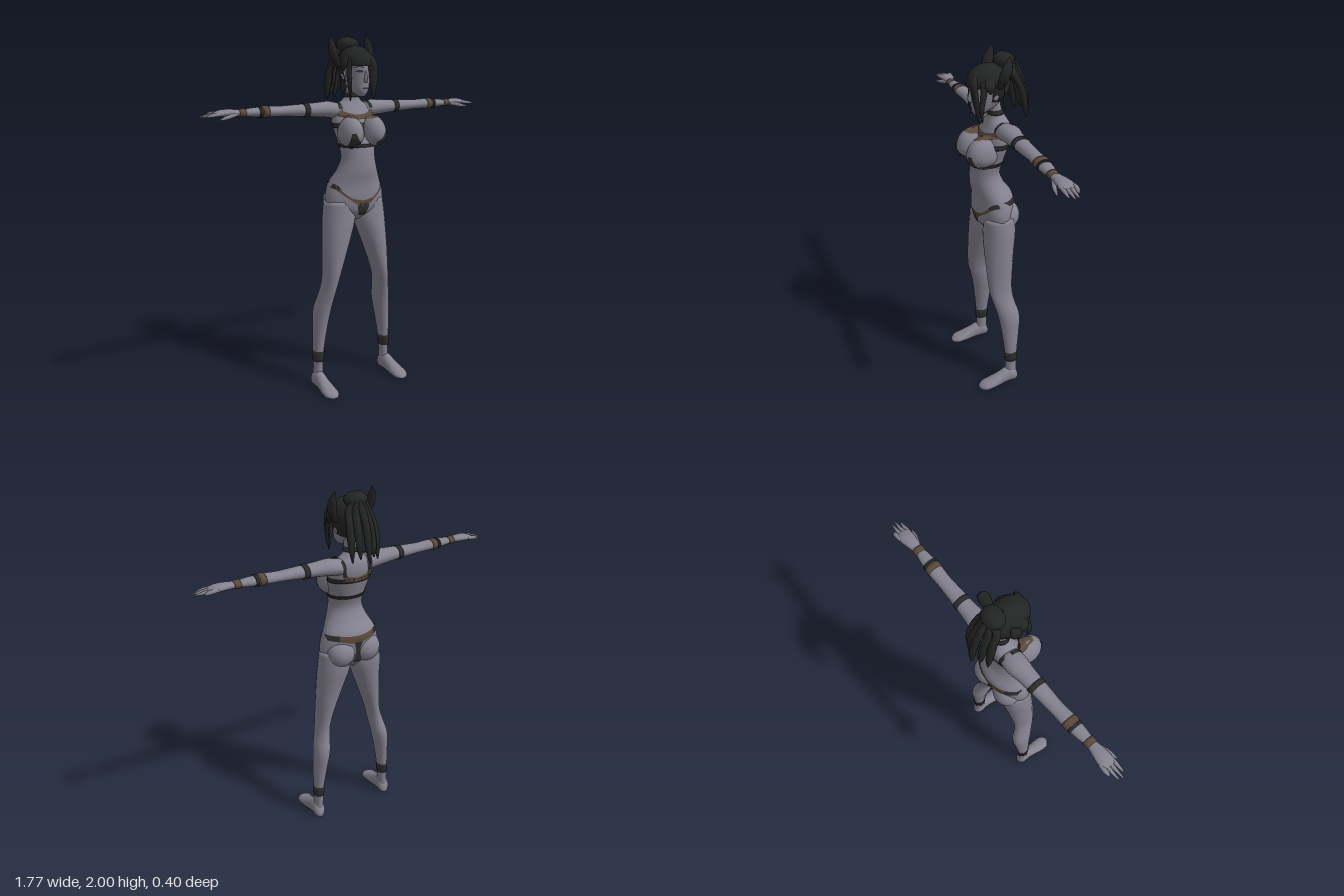
import * as THREE from 'three';

const mat = (name, color, side = THREE.FrontSide) => {
  const m = new THREE.MeshStandardMaterial({ color, side });
  m.name = name;
  return m;
};

// Section of a ring list at t; a ring is [t, c1, c2, radius1, radius2]
function sampler(rings) {
  const f = new THREE.CubicInterpolant(rings.map(r => r[0]), rings.flatMap(r => r.slice(1)), 4, new Float32Array(4));
  return t => [...f.evaluate(t)];
}

// Smooth closed loft of elliptical sections along one axis
function loft(axis, rings, { from = rings[0][0], to = rings.at(-1)[0], grow = 0, n = 18, steps = 28 } = {}) {
  const at = sampler(rings), pos = [], idx = [];
  const put = (t, u, v) => pos.push(...(axis === 'x' ? [t, u, v] : axis === 'y' ? [u, t, v] : [u, v, t]));
  const dir = axis === 'y' ? -1 : 1;
  for (let i = 0; i <= steps; i++) {
    const t = from + (to - from) * i / steps, [c, d, a, b] = at(t);
    for (let j = 0; j < n; j++) {
      const q = j / n * Math.PI * 2;
      put(t, c + (Math.max(a, 0.001) + grow) * Math.cos(q), d + dir * (Math.max(b, 0.001) + grow) * Math.sin(q));
    }
  }
  for (let i = 0; i < steps; i++) for (let j = 0; j < n; j++) {
    const a = i * n + j, b = i * n + (j + 1) % n;
    idx.push(a, b, a + n, b, b + n, a + n);
  }
  const s = at(from), e = at(to), k = pos.length / 3;
  put(from, s[0], s[1]);
  put(to, e[0], e[1]);
  for (let j = 0; j < n; j++) {
    const o = steps * n, j2 = (j + 1) % n;
    idx.push(k, j2, j, k + 1, o + j, o + j2);
  }
  return finish(pos, idx);
}

function finish(pos, idx) {
  const g = new THREE.BufferGeometry();
  g.setAttribute('position', new THREE.Float32BufferAttribute(pos, 3));
  g.setIndex(idx);
  g.computeVertexNormals();
  return g;
}

function mirror(geo) {
  const g = geo.clone(), p = g.attributes.position, ix = g.index;
  for (let i = 0; i < p.count; i++) p.setX(i, -p.getX(i));
  for (let i = 0; i < ix.count; i += 3) {
    const a = ix.getX(i);
    ix.setX(i, ix.getX(i + 1));
    ix.setX(i + 1, a);
  }
  g.computeVertexNormals();
  return g;
}

const ball = (x, y, z, rx, ry, rz) => new THREE.SphereGeometry(1, 22, 16).scale(rx, ry, rz).translate(x, y, z);

export function createModel() {
  const root = new THREE.Group();
  root.name = 'figure';
  const skin = mat('skin', 0x84828f), hair = mat('hair', 0x232524, THREE.DoubleSide);
  const black = mat('black leather', 0x2b2d2c, THREE.DoubleSide), brown = mat('brown leather', 0x5c4a3b, THREE.DoubleSide);
  const dark = mat('face detail', 0x3a363c, THREE.DoubleSide);
  const add = (name, geo, m) => {
    const mesh = new THREE.Mesh(geo, m);
    mesh.name = name;
    root.add(mesh);
    return mesh;
  };
  const pair = (name, geo, m) => [add(name + 'Left', geo, m), add(name + 'Right', mirror(geo), m)];

  // Torso and neck
  const torso = [[0.985, 0, 0.012, 0.03, 0.04], [1.03, 0, 0.018, 0.12, 0.085], [1.07, 0, 0.02, 0.172, 0.096],
    [1.12, 0, 0.02, 0.181, 0.102], [1.2, 0, 0.018, 0.158, 0.108], [1.27, 0, 0.047, 0.122, 0.092],
    [1.34, 0, 0.06, 0.1, 0.081], [1.42, 0, 0.045, 0.108, 0.088], [1.5, 0, 0.018, 0.124, 0.084],
    [1.57, 0, -0.003, 0.125, 0.078], [1.62, 0, -0.012, 0.098, 0.062], [1.65, 0, -0.01, 0.055, 0.047],
    [1.68, 0, -0.003, 0.037, 0.038], [1.75, 0, 0.015, 0.037, 0.04]];
  const body = [add('torso', loft('y', torso, { n: 32, steps: 60 }), skin)];
  const bust = ball(0, 0, 0, 0.066, 0.068, 0.09), bp = bust.attributes.position;
  for (let i = 0; i < bp.count; i++) if (bp.getY(i) > 0) bp.setY(i, bp.getY(i) * 1.45);
  bust.translate(0.073, 1.472, 0.1).computeVertexNormals();
  body.push(...pair('bust', bust, skin), ...pair('seat', ball(0.082, 1.09, -0.03, 0.084, 0.085, 0.078), skin));

  // Legs and feet
  const leg = [[0.04, 0.236, -0.005, 0.03, 0.036], [0.1, 0.232, -0.007, 0.026, 0.034], [0.2, 0.23, -0.007, 0.03, 0.037],
    [0.35, 0.217, -0.008, 0.039, 0.052], [0.47, 0.2025, -0.004, 0.047, 0.065], [0.55, 0.187, 0.017, 0.042, 0.064],
    [0.62, 0.174, 0.032, 0.039, 0.067], [0.81, 0.137, 0.03, 0.068, 0.08], [0.9, 0.118, 0.024, 0.083, 0.087],
    [1.0, 0.1, 0.015, 0.096, 0.092], [1.1, 0.1, 0.012, 0.081, 0.088]];
  body.push(...pair('leg', loft('y', leg, { n: 22, steps: 44 }), skin));
  pair('ankleCuff', loft('y', leg, { from: 0.157, to: 0.215, grow: 0.004, steps: 4 }), black);
  const foot = loft('z', [[-0.05, 0.236, 0.02, 0.012, 0.016], [-0.035, 0.236, 0.035, 0.03, 0.04], [0.02, 0.237, 0.045, 0.034, 0.052],
    [0.07, 0.239, 0.032, 0.037, 0.044], [0.13, 0.241, 0.018, 0.044, 0.032], [0.18, 0.241, 0.01, 0.038, 0.022], [0.202, 0.239, 0.006, 0.016, 0.01]]);
  const fp = foot.attributes.position;
  for (let i = 0; i < fp.count; i++) fp.setY(i, Math.max(0, fp.getY(i)));
  foot.computeVertexNormals();
  pair('foot', foot, skin);

  // Arms, bands and hands
  const arm = [[0.07, 1.59, -0.018, 0.045, 0.055], [0.14, 1.603, -0.022, 0.045, 0.06], [0.22, 1.605, -0.02, 0.039, 0.05],
    [0.35, 1.607, -0.018, 0.031, 0.042], [0.44, 1.608, -0.017, 0.027, 0.038], [0.52, 1.61, -0.014, 0.028, 0.04],
    [0.6, 1.61, -0.011, 0.023, 0.034], [0.67, 1.61, -0.008, 0.017, 0.026], [0.72, 1.613, -0.01, 0.019, 0.034],
    [0.77, 1.613, -0.012, 0.018, 0.041], [0.81, 1.609, -0.012, 0.01, 0.036]];
  body.push(...pair('arm', loft('x', arm, { steps: 44 }), skin));
  for (const [name, from, to, m] of [['upperArmBand', 0.277, 0.305, black], ['forearmBand', 0.515, 0.55, brown],
    ['forearmStrap', 0.555, 0.57, black], ['wristBand', 0.645, 0.68, brown]])
    pair(name, loft('x', arm, { from, to, grow: 0.004, steps: 3 }), m);
  [0.84, 0.88, 0.885, 0.865].forEach((tip, i) => {
    const z = -0.044 + i * 0.021;
    pair('finger' + (i + 1), loft('x', [[0.77, 1.612, z, 0.01, 0.011], [0.83, 1.606, z, 0.009, 0.01],
      [tip, 1.6, z + 0.002, 0.003, 0.004]], { n: 8, steps: 8 }), skin);
  });
  pair('thumb', loft('x', [[0.69, 1.607, 0.008, 0.011, 0.012], [0.75, 1.595, 0.032, 0.011, 0.012],
    [0.8, 1.585, 0.045, 0.004, 0.004]], { n: 8, steps: 10 }), skin);

  // Head, nose and ears
  const head = add('head', loft('y', [[1.675, 0, 0.095, 0.012, 0.02], [1.7, 0, 0.075, 0.04, 0.053], [1.74, 0, 0.052, 0.058, 0.08],
    [1.79, 0, 0.042, 0.067, 0.094], [1.84, 0, 0.036, 0.072, 0.1], [1.9, 0, 0.03, 0.062, 0.085], [1.93, 0, 0.028, 0.03, 0.04]],
  { n: 26 }), skin);
  add('nose', loft('y', [[1.75, 0, 0.134, 0.009, 0.01], [1.76, 0, 0.136, 0.01, 0.014], [1.81, 0, 0.132, 0.005, 0.008]], { n: 8, steps: 6 }), skin);
  pair('ear', ball(0.072, 1.79, 0.025, 0.01, 0.028, 0.016), skin);

  // Thin strip laid on a surface; points are [x, y, width], side 1 is front and -1 back
  root.updateMatrixWorld(true);
  const ray = new THREE.Raycaster();
  function strip(name, pts, side, m, targets = body) {
    const curve = new THREE.CatmullRomCurve3(pts.map(p => new THREE.Vector3(...p)));
    const pos = [], idx = [], L = 16, W = 6;
    let z = 0;
    for (let i = 0; i <= L; i++) {
      const p = curve.getPoint(i / L), t = curve.getTangent(i / L).setZ(0).normalize();
      for (let j = 0; j <= W; j++) {
        const o = p.z * (j / W - 0.5), q = new THREE.Vector3(p.x - t.y * o, p.y + t.x * o, side);
        ray.set(q, new THREE.Vector3(0, 0, -side));
        const hit = ray.intersectObjects(targets, false)[0];
        if (hit) {
          z = hit.point.z;
          q.copy(hit.point).addScaledVector(hit.face.normal, 0.004);
        } else q.z = z;
        pos.push(q.x, q.y, q.z);
        if (i < L && j < W) {
          const a = i * (W + 1) + j, b = a + W + 1;
          if (side > 0) idx.push(a, b, a + 1, b, b + 1, a + 1);
          else idx.push(a, a + 1, b, b, a + 1, b + 1);
        }
      }
    }
    return add(name, finish(pos, idx), m);
  }
  const strips = (name, pts, side, m, targets) => [1, -1].forEach(s =>
    strip(name + (s > 0 ? 'Left' : 'Right'), pts.map(([x, y, w]) => [s * x, y, w]), side, m, targets));

  // Face details
  strips('eye', [[0.014, 1.806, 0.006], [0.03, 1.811, 0.014], [0.047, 1.809, 0.005]], 1, dark, [head]);
  strips('brow', [[0.012, 1.828, 0.006], [0.032, 1.836, 0.007], [0.052, 1.828, 0.004]], 1, dark, [head]);
  strip('mouth', [[-0.017, 1.721, 0.004], [0, 1.72, 0.01], [0.017, 1.721, 0.004]], 1, dark, [head]);

  // Upper harness
  strip('chestStrap', [[-0.11, 1.585, 0.038], [-0.05, 1.568, 0.026], [0, 1.562, 0.026], [0.05, 1.568, 0.026], [0.11, 1.585, 0.038]], 1, brown);
  strip('centreStrap', [[0, 1.535, 0.016], [0, 1.5, 0.016], [0, 1.455, 0.012]], 1, brown);
  strips('cup', [[0.1, 1.487, 0.018], [0.095, 1.45, 0.04], [0.078, 1.416, 0.062]], 1, black);
  strips('shoulderStrap', [[0.1, 1.605, 0.022], [0.097, 1.63, 0.022], [0.088, 1.645, 0.02]], 1, black);
  strips('backShoulderStrap', [[0.085, 1.63, 0.02], [0.08, 1.59, 0.02], [0.07, 1.545, 0.02]], -1, black);
  strip('backStrap', [[-0.075, 1.535, 0.03], [0, 1.525, 0.026], [0.075, 1.535, 0.03]], -1, brown);
  const belt = (name, from, to, m) => add(name, loft('y', torso, { from, to, grow: 0.004, n: 32, steps: 4 }), m);
  belt('ribStrap', 1.505, 1.53, black);
  belt('underbustStrap', 1.403, 1.42, black);
  belt('collar', 1.668, 1.69, black);

  // Lower garment
  strips('hipStrap', [[0.152, 1.19, 0.024], [0.11, 1.142, 0.012], [0.055, 1.105, 0.014]], 1, brown);
  strips('hipSide', [[0.158, 1.19, 0.026], [0.148, 1.185, 0.026], [0.13, 1.168, 0.016]], 1, black);
  strip('frontTrim', [[-0.065, 1.11, 0.016], [0, 1.088, 0.036], [0.065, 1.11, 0.016]], 1, brown);
  strip('frontPanel', [[0, 1.092, 0.075], [0, 1.06, 0.07], [0, 1.02, 0.035]], 1, black);
  strip('backBelt', [[-0.105, 1.19, 0.03], [0, 1.178, 0.042], [0.105, 1.19, 0.03]], -1, brown);
  strips('backHip', [[0.104, 1.19, 0.03], [0.135, 1.192, 0.028], [0.157, 1.192, 0.026]], -1, black);
  strip('backPanel', [[0, 1.16, 0.05], [0, 1.1, 0.026], [0, 1.03, 0.05]], -1, black);

  // Hair cap: dome over the brow and a shell behind
  const dome = new THREE.SphereGeometry(1, 28, 10, 0, Math.PI * 2, 0, Math.PI * 0.52).scale(0.09, 0.098, 0.12).translate(0, 1.845, 0.035);
  add('hairCap', dome, hair);
  const shell = new THREE.SphereGeometry(1, 20, 10, Math.PI * 0.97, Math.PI * 1.06, Math.PI * 0.45, Math.PI * 0.37)
    .scale(0.09, 0.125, 0.12).translate(0, 1.845, 0.035);
  add('hairBack', shell, hair);

  // Fringe and side locks
  const lock = (name, rings) => loft('y', rings, { n: 8, steps: 14 });
  add('fringe', lock('fringe', [[1.66, 0.062, 0.115, 0.004, 0.004], [1.72, 0.06, 0.122, 0.02, 0.013], [1.8, 0.053, 0.13, 0.031, 0.016],
    [1.87, 0.038, 0.132, 0.03, 0.018], [1.92, 0.015, 0.1, 0.012, 0.012]]), hair);
  pair('sideLock', lock('sideLock', [[1.655, 0.074, 0.1, 0.003, 0.004], [1.73, 0.08, 0.105, 0.01, 0.014],
    [1.8, 0.08, 0.095, 0.012, 0.018], [1.87, 0.072, 0.085, 0.012, 0.022]]), hair);
  pair('templeTuft', lock('templeTuft', [[1.81, 0.094, 0.06, 0.003, 0.006], [1.85, 0.088, 0.06, 0.016, 0.03], [1.89, 0.07, 0.06, 0.008, 0.02]]), hair);

  // Bun and ponytail
  add('bun', new THREE.IcosahedronGeometry(1, 1).scale(0.068, 0.042, 0.055).translate(0, 1.95, -0.05), hair);
  [-0.076, -0.04, 0, 0.04, 0.076].forEach((x, i) => {
    const back = Math.abs(x) * 0.55, end = 1.65 + (i % 2) * 0.02;
    add('ponytailStrand' + (i + 1), lock('strand', [[end, x, -0.19 + back, 0.004, 0.005], [1.72, x, -0.18 + back, 0.018, 0.017],
      [1.82, x * 0.95, -0.157 + back, 0.021, 0.02], [1.91, x * 0.7, -0.115 + back, 0.019, 0.022], [1.965, x * 0.35, -0.08, 0.01, 0.014]]), hair);
  });

  // Horns and hanging ornaments
  pair('horn', loft('y', [[1.83, 0.085, 0.005, 0.012, 0.02], [1.89, 0.112, -0.005, 0.02, 0.032], [1.95, 0.118, -0.02, 0.016, 0.028],
    [2, 0.112, -0.035, 0.002, 0.003]], { n: 8, steps: 14 }), hair);
  pair('ornament', loft('y', [[1.73, 0.13, 0, 0.001, 0.002], [1.78, 0.128, 0, 0.006, 0.008], [1.82, 0.126, 0, 0.002, 0.002],
    [1.88, 0.12, 0, 0.002, 0.002]], { n: 6, steps: 10 }), hair);
  return root;
}
